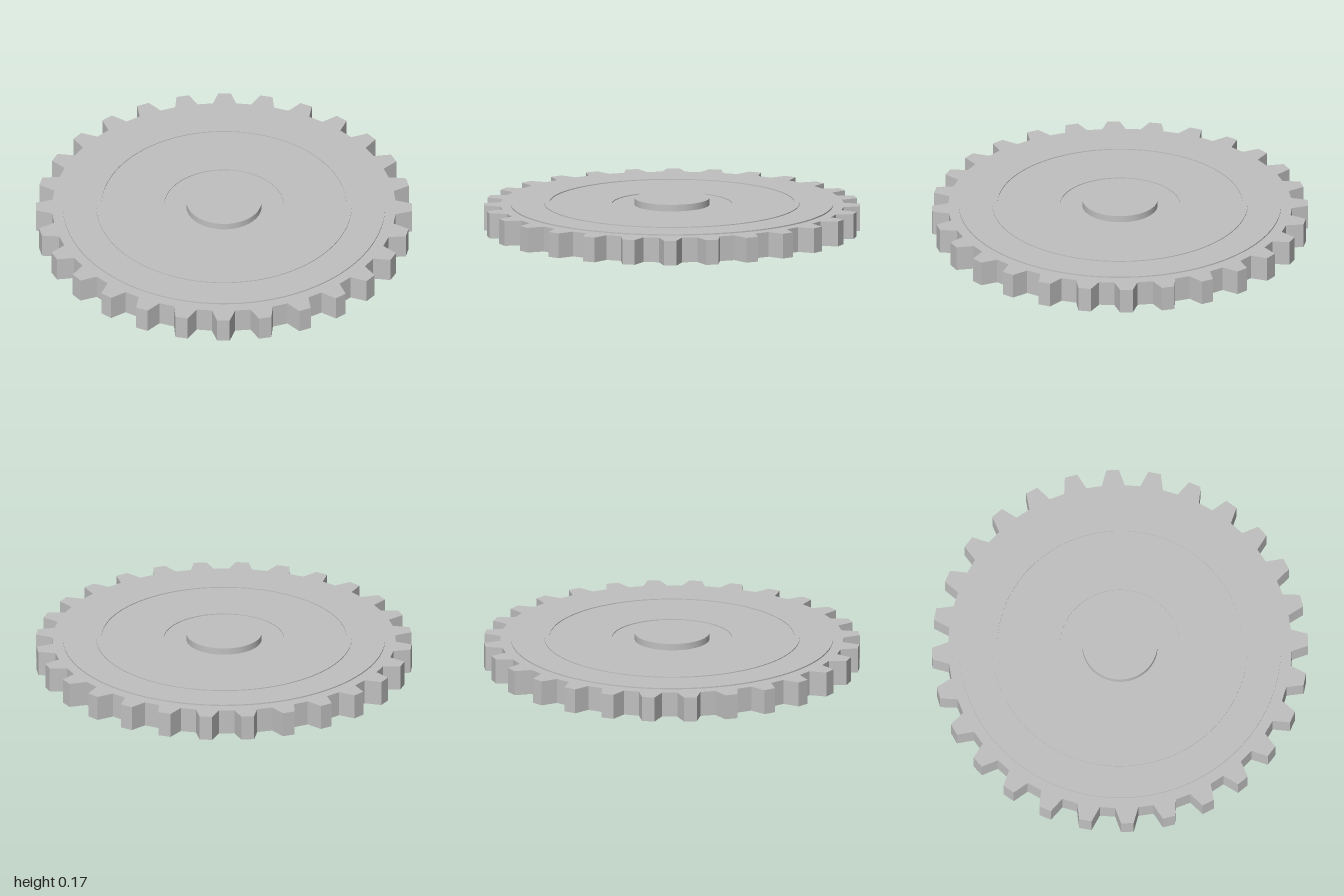
import * as THREE from 'three';
import { toCreasedNormals } from 'three/addons/utils/BufferGeometryUtils.js';

const TEETH = 28, ROOT = 0.914, TIP = 1.0006, BODY_TOP = 0.134;

// Outline of the toothed disc: each pitch is a root flat, a rise, a tip and a fall
function gearShape() {
  const points = [];
  const pitch = (Math.PI * 2) / TEETH;
  for (let i = 0; i < TEETH; i++) {
    for (const [fraction, r] of [[0, ROOT], [0.4, ROOT], [0.55, TIP], [0.85, TIP]]) {
      const a = (i + fraction) * pitch;
      points.push(new THREE.Vector2(r * Math.sin(a), r * Math.cos(a)));
    }
  }
  return new THREE.Shape(points);
}

export function createModel() {
  const group = new THREE.Group();
  const steel = new THREE.MeshStandardMaterial({ color: 0xc0c0c0 });
  steel.name = 'grey steel';

  const add = (name, geometry) => {
    const mesh = new THREE.Mesh(geometry, steel);
    mesh.name = name;
    group.add(mesh);
  };

  // Toothed body
  const body = new THREE.ExtrudeGeometry(gearShape(), { depth: BODY_TOP, bevelEnabled: false });
  body.rotateX(-Math.PI / 2);
  add('toothedBody', body);

  // Stepped face plate: low rim, raised ring, web and recess around the hub
  const profile = [
    [0.857, BODY_TOP], [0.857, 0.141], [0.68, 0.141], [0.68, 0.146],
    [0.652, 0.146], [0.652, 0.141], [0.32, 0.141], [0.32, 0.136], [0, 0.136],
  ].map(([r, y]) => new THREE.Vector2(r, y));
  add('facePlate', toCreasedNormals(new THREE.LatheGeometry(profile, 96), 0.6));

  // Central hub
  const hub = new THREE.CylinderGeometry(0.2, 0.2, 0.04, 64);
  hub.translate(0, 0.152, 0);
  add('hub', hub);

  return group;
}
